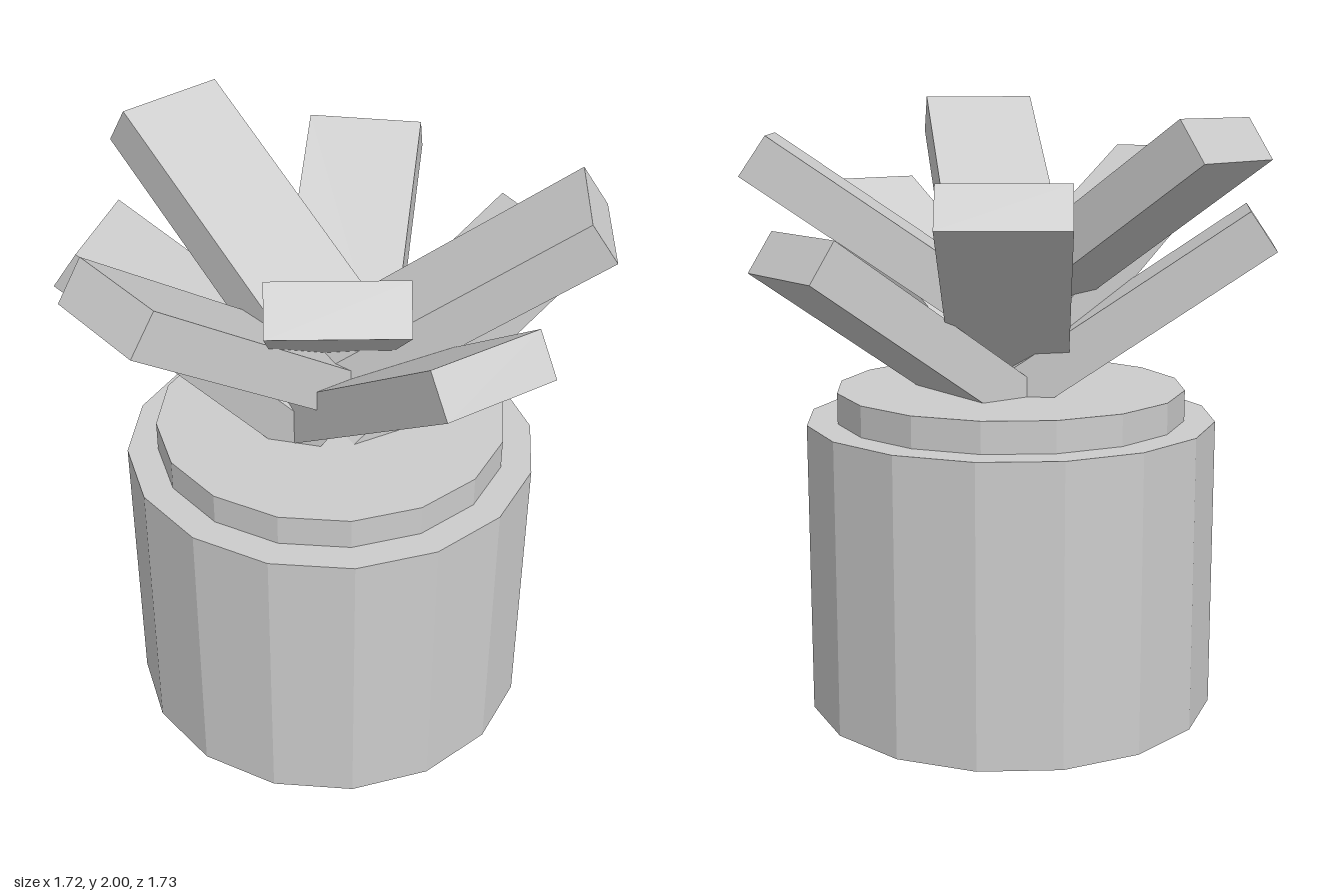
import * as THREE from 'three';

export function createModel() {
  const model = new THREE.Group();
  const grey = new THREE.MeshStandardMaterial({ color: 0xcccccc, flatShading: true });
  grey.name = 'plain grey';

  function drum(name, radius, bottom, top) {
    const mesh = new THREE.Mesh(new THREE.CylinderGeometry(radius, radius, top - bottom, 16), grey);
    mesh.name = name;
    mesh.position.y = (bottom + top) / 2;
    model.add(mesh);
  }

  // Sixteen-sided pot with a narrower disc on top
  drum('pot', 0.675, 0, 0.962);
  drum('topDisc', 0.575, 0.962, 1.063);

  // Slab leaves rise in a golden-angle spiral, each hinged on the central axis
  const length = 0.977;
  const leafGeometry = new THREE.BoxGeometry(length, 0.15, 0.382);
  leafGeometry.translate(length / 2, 0, 0);
  leafGeometry.rotateZ(0.6);
  const leaves = new THREE.Group();
  leaves.name = 'leaves';
  for (let i = 0; i < 8; i++) {
    const leaf = new THREE.Mesh(leafGeometry, grey);
    leaf.name = 'leaf' + (i + 1);
    leaf.position.y = 0.986 + i * 0.0571;
    leaf.rotation.y = THREE.MathUtils.degToRad(137.5 * i);
    leaves.add(leaf);
  }
  model.add(leaves);

  // Centre the outline on the vertical axis
  for (const part of model.children) {
    part.position.x = 0.0075;
    part.position.z = 0.0065;
  }
  return model;
}
